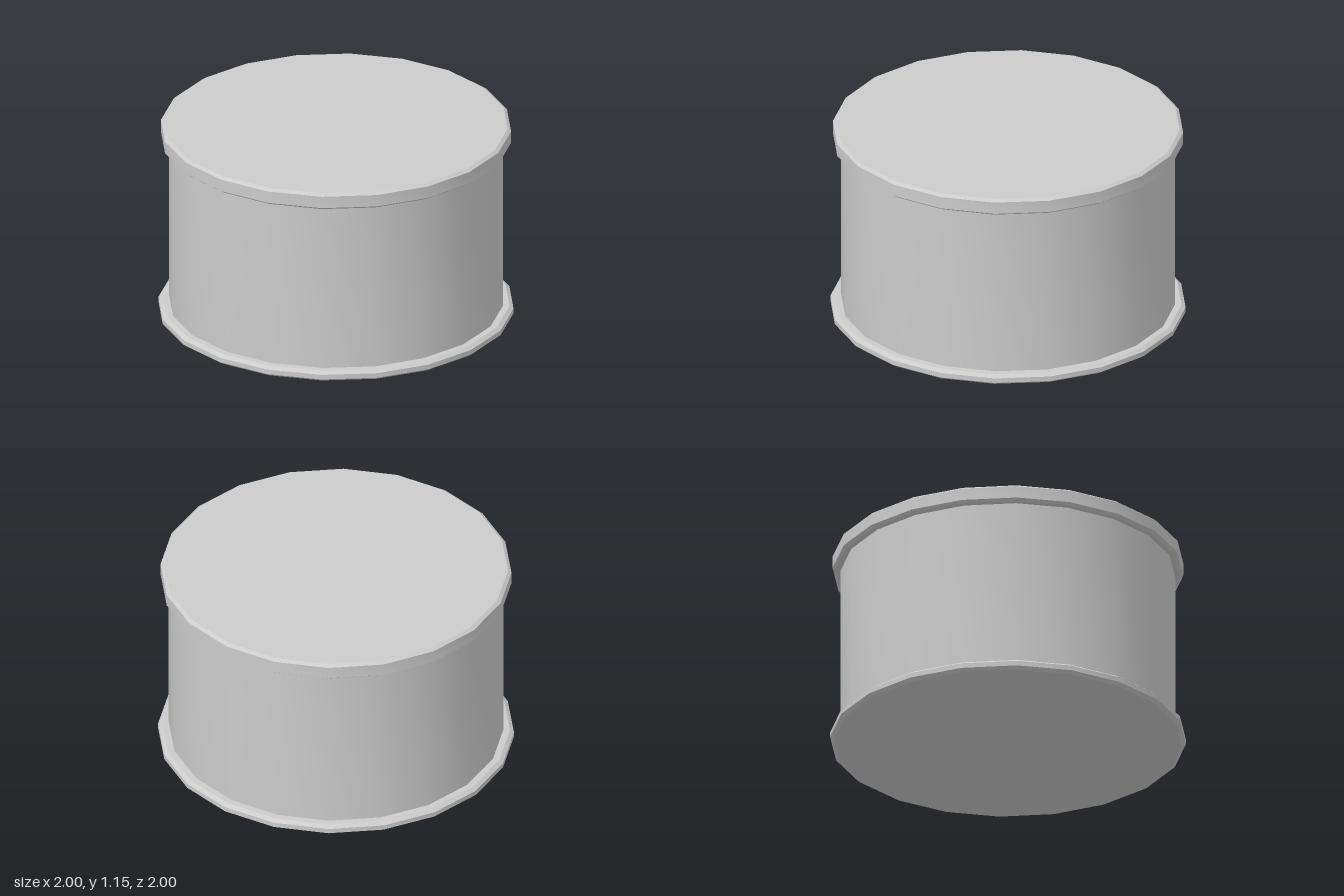
import * as THREE from 'three';
import { toCreasedNormals } from 'three/addons/utils/BufferGeometryUtils.js';

const SIDES = 20;

export function createModel() {
  const group = new THREE.Group();
  const material = new THREE.MeshStandardMaterial({ color: 0xcccccc });

  // Closed turned part: profile of [radius, y] from bottom to top
  function turned(name, profile) {
    const bottom = profile[0][1];
    const top = profile[profile.length - 1][1];
    const points = [[0, bottom], ...profile, [0, top]].map(([r, y]) => new THREE.Vector2(r, y));
    const geometry = toCreasedNormals(new THREE.LatheGeometry(points, SIDES), Math.PI / 7);
    const mesh = new THREE.Mesh(geometry, material);
    mesh.name = name;
    group.add(mesh);
  }

  // Disc with chamfered rims
  function disc(name, radius, bottom, top, chamfer) {
    turned(name, [
      [radius - chamfer * 1.4, bottom],
      [radius, bottom + chamfer],
      [radius, top - chamfer],
      [radius - chamfer * 1.4, top],
    ]);
  }

  disc('base', 1, 0, 0.06, 0.016);
  turned('body', [[0.94, 0.03], [0.94, 1.1]]);
  disc('lid', 0.986, 1.048, 1.146, 0.014);

  return group;
}
